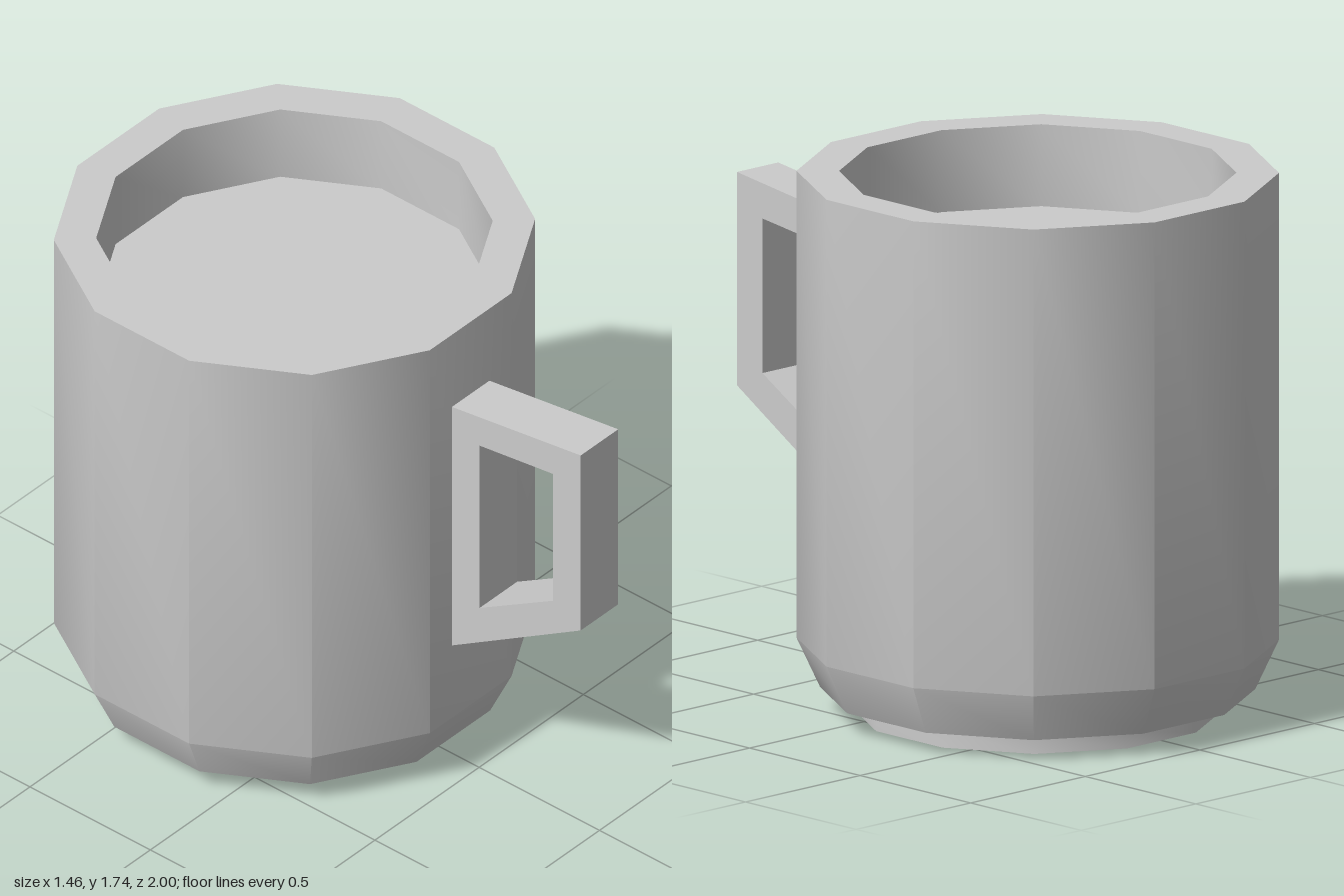
import * as THREE from 'three';
import { toCreasedNormals } from 'three/addons/utils/BufferGeometryUtils.js';

const SIDES = 12;
const CENTRE_Z = -0.267;

const material = new THREE.MeshStandardMaterial({ color: 0xcccccc });

// Twelve-sided lathe with flats facing the axes; profile is [half width across flats, y]
function turned(name, profile) {
  const k = 1 / Math.cos(Math.PI / SIDES);
  const points = profile.map(([r, y]) => new THREE.Vector2(r * k, y));
  const lathe = new THREE.LatheGeometry(points, SIDES, Math.PI / SIDES);
  const mesh = new THREE.Mesh(toCreasedNormals(lathe, THREE.MathUtils.degToRad(35)), material);
  mesh.name = name;
  mesh.position.z = CENTRE_Z;
  return mesh;
}

export function createModel() {
  const mug = new THREE.Group();
  mug.name = 'mug';

  // Body: recessed underside, foot ring, chamfered base, wall and rim
  mug.add(turned('body', [
    [0, 0.055], [0.51, 0.055], [0.51, 0], [0.56, 0], [0.56, 0.055],
    [0.66, 0.07], [0.732, 0.23], [0.732, 1.74], [0.603, 1.74], [0.603, 1.47],
  ]));

  // Drink filling the inside
  mug.add(turned('drinkSurface', [[0.603, 1.475], [0, 1.475]]));

  // Angular handle, drawn in the z-y plane and extruded across x
  const toPoints = (list) => list.map(([z, y]) => new THREE.Vector2(z, y));
  const outline = new THREE.Shape(toPoints([[0.46, 0.512], [1, 0.84], [1, 1.53], [0.46, 1.455]]));
  outline.holes.push(new THREE.Path(toPoints([[0.58, 0.72], [0.58, 1.36], [0.885, 1.4], [0.885, 0.9]])));
  const width = 0.18;
  const handleGeometry = new THREE.ExtrudeGeometry(outline, { depth: width, bevelEnabled: false });
  handleGeometry.translate(0, 0, -width / 2).rotateY(-Math.PI / 2);
  const handle = new THREE.Mesh(handleGeometry, material);
  handle.name = 'handle';
  mug.add(handle);

  return mug;
}
